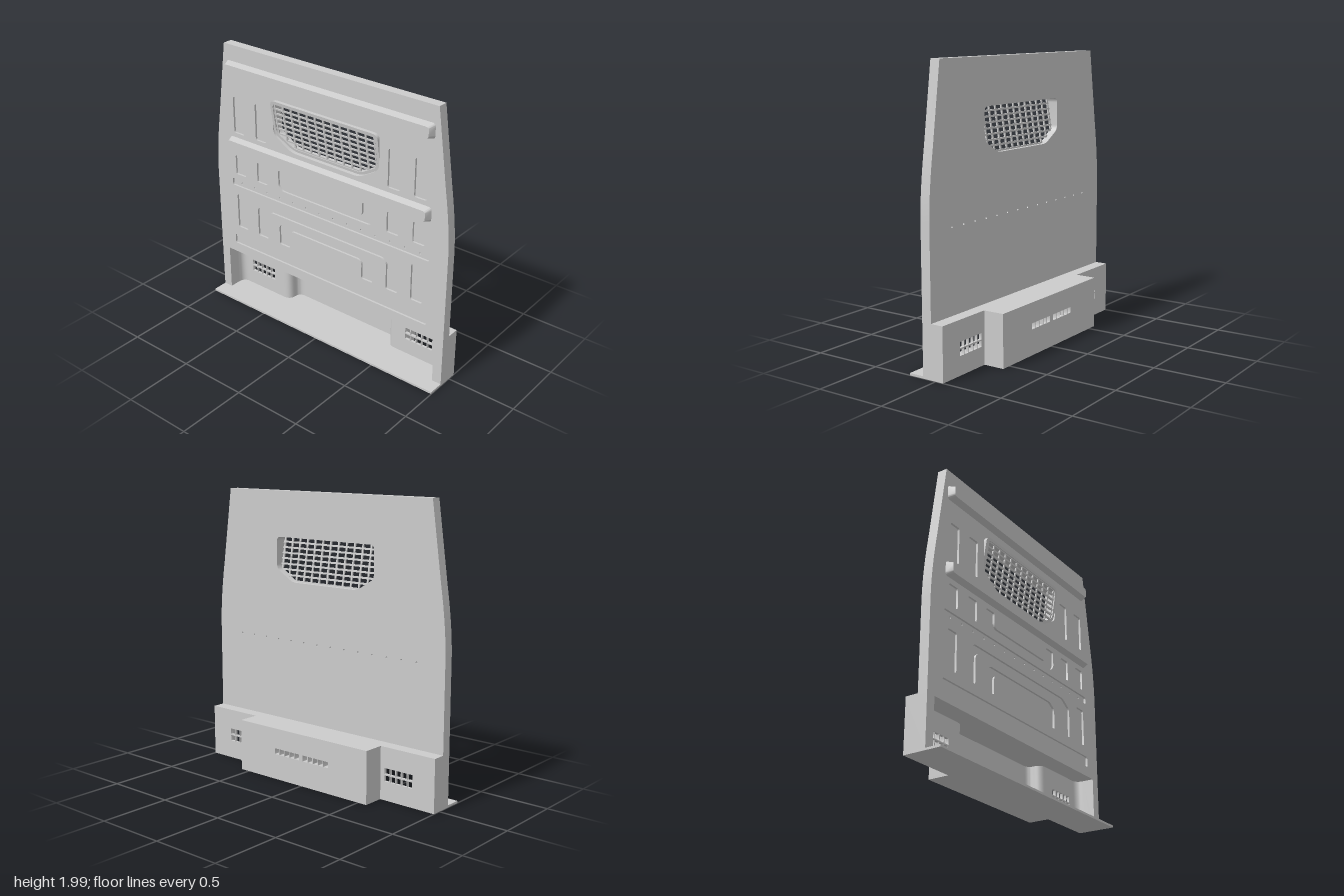
import * as THREE from 'three';
import { toCreasedNormals } from 'three/addons/utils/BufferGeometryUtils.js';

const material = new THREE.MeshStandardMaterial({ color: 0xcccccc });
const V = (x, y) => new THREE.Vector2(x, y);

// Polygon with corners rounded by radius r
function roundPoly(pts, r, Type = THREE.Shape) {
  const s = new Type();
  pts.forEach(([x, y], i) => {
    const c = V(x, y);
    const a = V(...pts[(i + pts.length - 1) % pts.length]).sub(c);
    const b = V(...pts[(i + 1) % pts.length]).sub(c);
    a.setLength(Math.min(r, a.length() * 0.45)).add(c);
    b.setLength(Math.min(r, b.length() * 0.45)).add(c);
    if (i) s.lineTo(a.x, a.y); else s.moveTo(a.x, a.y);
    s.quadraticCurveTo(x, y, b.x, b.y);
  });
  s.closePath();
  return s;
}
const rect = (x0, x1, y0, y1) => [[x0, y0], [x1, y0], [x1, y1], [x0, y1]];
const poly = (pts) => new THREE.Shape(pts.map((p) => V(...p)));
// Right half of a symmetric outline, completed by its mirror
const sym = (half) => [...half, ...half.map(([x, y]) => [-x, y]).reverse()];

function extrude(shape, depth) {
  return new THREE.ExtrudeGeometry(shape, { depth, bevelEnabled: false, curveSegments: 8 });
}

export function createModel() {
  const model = new THREE.Group();
  const add = (name, geometry) => {
    const mesh = new THREE.Mesh(toCreasedNormals(geometry, 0.6), material);
    mesh.name = name;
    model.add(mesh);
  };
  // Front-facing extrusion between two depths
  const addFront = (name, shape, z0, z1) => add(name, extrude(shape, z1 - z0).translate(0, 0, z0));
  // Plan (x, z) extrusion between two heights
  const addPlan = (name, shape, y0, y1) =>
    add(name, extrude(shape, y1 - y0).rotateX(-Math.PI / 2).translate(0, y0, 0));

  const zBack = 0.03, zSkin = 0.085, zFront = 0.1;
  const floorY = 0.015, ceilY = 0.357, roofY = 0.367;

  // Main panel outline: straight below, curving in to a narrower top
  const panelShape = () => {
    const s = new THREE.Shape();
    s.moveTo(-1, ceilY);
    s.lineTo(1, ceilY);
    s.lineTo(1, 1.0);
    s.quadraticCurveTo(0.998, 1.2, 0.955, 1.46);
    s.lineTo(0.88, 1.99);
    s.lineTo(-0.88, 1.99);
    s.lineTo(-0.955, 1.46);
    s.quadraticCurveTo(-0.998, 1.2, -1, 1.0);
    s.closePath();
    return s;
  };
  const windowOuter = sym([[0.29, 1.34], [0.45, 1.435], [0.45, 1.69]]);
  const windowInner = sym([[0.285, 1.36], [0.43, 1.447], [0.43, 1.67]]);

  // Back skin with window and bolt holes
  const skin = panelShape();
  skin.holes.push(roundPoly(windowOuter, 0.045, THREE.Path));
  for (let i = 0; i < 14; i++) {
    skin.holes.push(new THREE.Path().absarc(-0.78 + i * 0.12, 0.942, 0.007, 0, Math.PI * 2));
  }
  addFront('panelBack', skin, zBack, zSkin);

  // Front skin, cut through to leave the shallow pressed recesses
  const recesses = [
    rect(-0.86, 0.86, 0.43, 0.505),
    rect(-0.86, 0.86, 0.917, 0.97),
    sym([[0.38, 1.015], [0.415, 1.05], [0.415, 1.165], [0.32, 1.165], [0.32, 1.08], [0.3, 1.055]]),
    sym([[0.49, 0.805], [0.525, 0.775], [0.525, 0.58], [0.62, 0.58], [0.62, 0.795], [0.535, 0.85]]),
    sym([[0.295, 0.72], [0.32, 0.7], [0.32, 0.58], [0.415, 0.58], [0.415, 0.725], [0.36, 0.762]]),
  ];
  for (const s of [-1, 1]) {
    for (const [x0, x1] of [[0.52, 0.615], [0.725, 0.82]]) {
      recesses.push(rect(s * x0, s * x1, 1.34, 1.61), rect(s * x0, s * x1, 1.015, 1.165));
    }
    recesses.push(rect(s * 0.725, s * 0.82, 0.58, 0.85));
  }
  const face = panelShape();
  face.holes.push(roundPoly(windowOuter, 0.045, THREE.Path));
  for (const r of recesses) face.holes.push(roundPoly(r, 0.015, THREE.Path));
  addFront('panelFront', face, zSkin, zFront);

  // Two raised cross bars, tapering towards the front
  for (const y of [1.822, 1.255]) {
    const g = extrude(roundPoly(rect(-0.86, 0.86, -0.052, 0.052), 0.025), 0.047);
    const p = g.attributes.position;
    for (let i = 0; i < p.count; i++) {
      if (p.getZ(i) > 0.01) p.setXY(i, p.getX(i) * 0.98, p.getY(i) * 0.72);
    }
    add('crossBar', g.translate(0, y, zFront));
  }

  // Window frame and grille share a front plane that leans forward at the top
  const lean = (y) => 0.1 + 0.16 * (y - 1.52);
  const frame = roundPoly(windowOuter, 0.045);
  frame.holes.push(roundPoly(windowInner, 0.035, THREE.Path));
  const frameGeo = extrude(frame, 1);
  const fp = frameGeo.attributes.position;
  for (let i = 0; i < fp.count; i++) {
    fp.setZ(i, fp.getZ(i) > 0.5 ? lean(fp.getY(i)) : zBack);
  }
  add('windowFrame', frameGeo);

  const bar = (x0, x1, y0, y1) => {
    const g = extrude(poly(rect(x0, x1, y0, y1)), 0.01);
    const p = g.attributes.position;
    for (let i = 0; i < p.count; i++) p.setZ(i, p.getZ(i) + lean(p.getY(i)) - 0.016);
    add('windowGrilleBar', g);
  };
  const t = 0.006;
  for (let i = -6; i <= 6; i++) {
    const x = i * 0.0695;
    const low = 1.352 + Math.max(0, Math.abs(x) - 0.285) * 0.6;
    bar(x - t, x + t, low, 1.68);
  }
  for (let j = 0; j <= 8; j++) {
    const y = 1.364 + j * 0.038;
    const w = Math.min(0.438, 0.295 + (y - 1.36) * 1.66);
    bar(-w, w, y - t, y + t);
  }

  // Floor plate with front lip, and the thin roof of the lower housing
  const footprint = (zf) => poly(sym([[0.57, 0.21], [0.57, 0.06], [1, 0.06], [1, -zf]]));
  addPlan('floorPlate', footprint(0.21), 0, floorY);
  addPlan('housingRoof', footprint(zBack), ceilY, roofY);

  // Housing corners in plan (shape y is -z), mirrored left and right
  for (const s of [-1, 1]) {
    const end = new THREE.Shape();
    end.moveTo(s * 1, -0.1);
    end.lineTo(s * 1, 0.06);
    end.lineTo(s * 0.84, 0.06);
    end.lineTo(s * 0.84, 0.04);
    end.lineTo(s * 0.87, 0.04);
    end.quadraticCurveTo(s * 0.93, 0.04, s * 0.93, -0.02);
    end.lineTo(s * 0.93, -0.1);
    end.closePath();
    addPlan('housingEnd', end, floorY, ceilY);

    const step = new THREE.Shape();
    step.moveTo(s * 0.59, 0.06);
    step.lineTo(s * 0.57, 0.06);
    step.lineTo(s * 0.57, 0.21);
    step.lineTo(s * 0.4, 0.21);
    step.lineTo(s * 0.4, 0.15);
    step.quadraticCurveTo(s * 0.455, 0.15, s * 0.455, 0.1);
    step.quadraticCurveTo(s * 0.455, 0.04, s * 0.515, 0.04);
    step.lineTo(s * 0.59, 0.04);
    step.closePath();
    addPlan('housingStep', step, floorY, ceilY);
  }

  // Housing back walls with rows of vent slots
  const vents = (wall, x0, rows) => {
    for (const y of rows) {
      for (let i = 0; i < 5; i++) {
        const x = x0 + i * 0.046;
        wall.holes.push(roundPoly(rect(x + 0.003, x + 0.043, y, y + 0.042), 0.002, THREE.Path));
      }
    }
  };
  for (const [x0, x1, v] of [[0.59, 0.84, 0.6], [-0.84, -0.59, -0.83]]) {
    const wall = poly(rect(x0, x1, floorY, ceilY));
    vents(wall, v, [0.13, 0.181]);
    addFront('sideVentWall', wall, -0.06, -0.04);
  }
  const centre = poly(rect(-0.4, 0.4, floorY, ceilY));
  vents(centre, -0.245, [0.181]);
  vents(centre, 0.015, [0.181]);
  addFront('centreVentWall', centre, -0.21, -0.15);

  return model;
}
